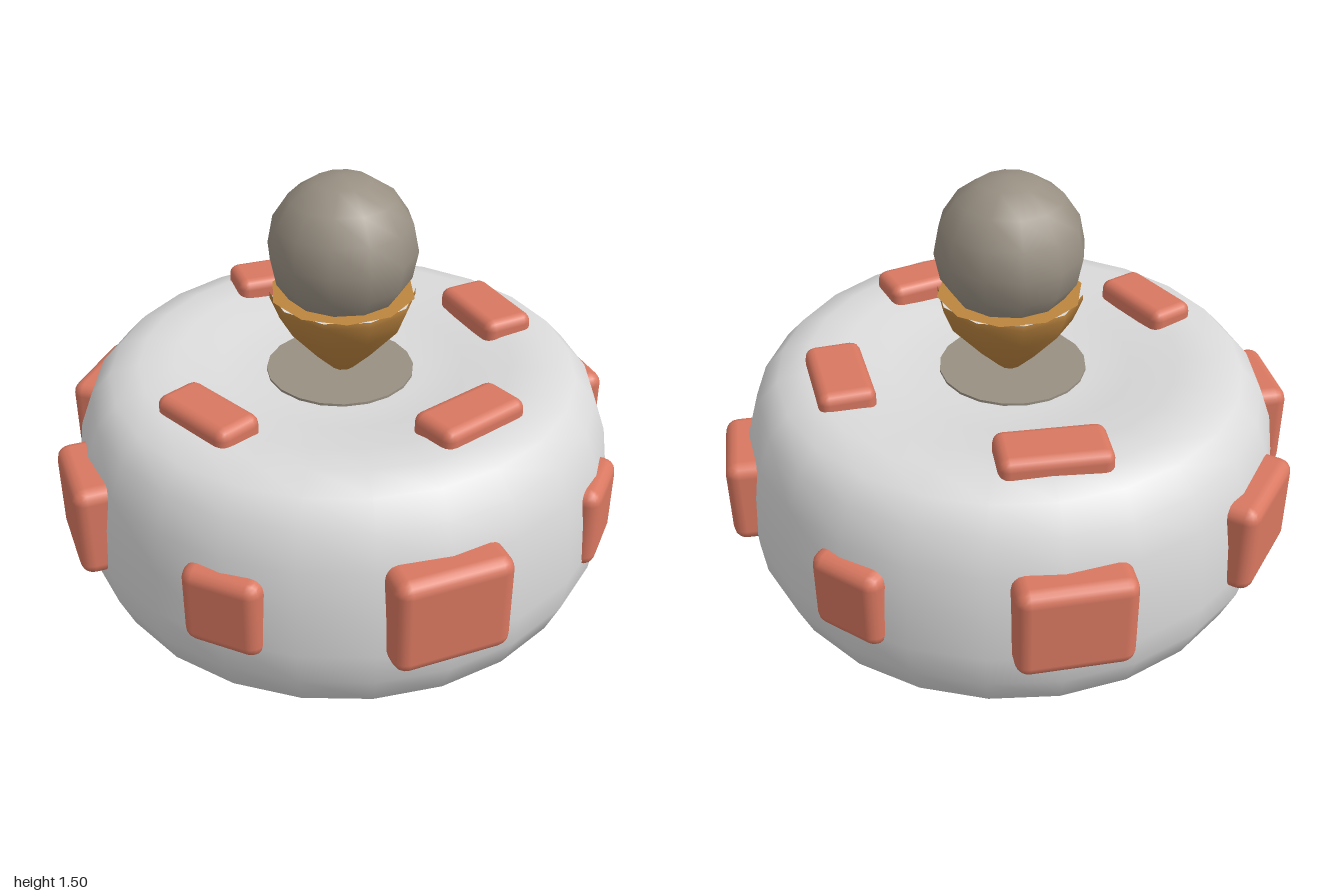
import * as THREE from 'three';
import { RoundedBoxGeometry } from 'three/addons/geometries/RoundedBoxGeometry.js';

const mat = (name, color, side = THREE.FrontSide) => {
  const m = new THREE.MeshStandardMaterial({ color, side });
  m.name = name;
  return m;
};

export function createModel() {
  const model = new THREE.Group();
  model.name = 'studdedCushion';
  const icing = mat('paleGrey', 0xdadada);
  const coral = mat('coral', 0xd87760);
  const stone = mat('warmGrey', 0x999083);
  const ochre = mat('ochre', 0xbd853f);
  const dark = mat('black', 0x050505, THREE.DoubleSide);

  const add = (name, geometry, material, x = 0, y = 0, z = 0) => {
    const mesh = new THREE.Mesh(geometry, material);
    mesh.name = name;
    mesh.position.set(x, y, z);
    model.add(mesh);
    return mesh;
  };
  const lathe = (points, sides) =>
    new THREE.LatheGeometry(points.map(([r, y]) => new THREE.Vector2(r, y)), sides);

  // Puffy round body with a shallow dip on top
  add('body', lathe([
    [0, 0.005], [0.55, 0.005], [0.78, 0.02], [0.88, 0.08], [0.93, 0.2], [0.945, 0.32],
    [0.935, 0.48], [0.915, 0.62], [0.87, 0.74], [0.8, 0.815], [0.7, 0.845], [0.58, 0.84],
    [0.42, 0.81], [0.28, 0.79], [0, 0.785],
  ], 24), icing);

  // Flat ring under the cup
  add('cupBase', new THREE.CylinderGeometry(0.255, 0.255, 0.009, 20), stone, -0.01, 0.794, 0);

  // Faceted cup holding the ball
  add('cup', lathe([
    [0, 0.785], [0.04, 0.8], [0.11, 0.87], [0.215, 0.99], [0.247, 1.07], [0.247, 1.09],
  ], 10), ochre);
  const rim = add('cupRim', new THREE.CircleGeometry(0.247, 10), ochre, 0, 1.09, 0);
  rim.rotation.set(-Math.PI / 2, 0, 0);

  // Ball
  add('ball', new THREE.SphereGeometry(0.253, 12, 8), stone, 0, 1.25, 0);

  // Studs around the wall: outward direction, centre offset along wall, width, bottom, top, reach
  const wallStuds = [
    [0, 1, -0.02, 0.39, 0.295, 0.64, 1.0],
    [0, -1, 0.025, 0.38, 0.3, 0.63, 1.0],
    [-1, 0, 0.04, 0.34, 0.3, 0.635, 1.0],
    [1, 0, 0.03, 0.33, 0.295, 0.61, 1.0],
    [-0.7, 0.71, 0, 0.27, 0.29, 0.575, 0.965],
    [0.71, 0.7, 0, 0.27, 0.29, 0.59, 0.965],
    [-0.77, -0.64, 0, 0.37, 0.3, 0.63, 0.99],
    [0.68, -0.73, 0, 0.26, 0.29, 0.575, 0.97],
  ];
  const depth = 0.16;
  for (const [dx, dz, offset, width, bottom, top, reach] of wallStuds) {
    const r = reach - depth / 2;
    const stud = add('wallStud', new RoundedBoxGeometry(width, top - bottom, depth, 2, 0.045),
      coral, dx * r + dz * offset, (bottom + top) / 2, dz * r - dx * offset);
    stud.rotation.y = Math.atan2(dx, dz);
  }

  // Studs lying on top: x, z, width, length, turn
  const topStuds = [
    [-0.02, -0.615, 0.36, 0.19, -0.03],
    [0.59, -0.08, 0.19, 0.34, 0.1],
    [-0.55, 0.235, 0.17, 0.33, 0.42],
    [0.22, 0.54, 0.34, 0.18, 0.3],
  ];
  for (const [x, z, width, length, turn] of topStuds) {
    const stud = add('topStud', new RoundedBoxGeometry(width, 0.12, length, 2, 0.035),
      coral, x, 0.84, z);
    stud.rotation.y = turn;
  }

  // Small dark opening underneath
  const opening = new THREE.Shape([
    [0.1, -0.06], [-0.11, -0.09], [-0.06, 0.03], [0.02, 0.06], [0.05, 0.01], [0.16, 0.08],
    [0.19, 0.02],
  ].map(([x, z]) => new THREE.Vector2(x, z)).map((p) => p.multiplyScalar(0.75)));
  const patch = add('bottomOpening', new THREE.ShapeGeometry(opening), dark, 0, 0.001, 0);
  patch.rotation.x = Math.PI / 2;

  return model;
}
